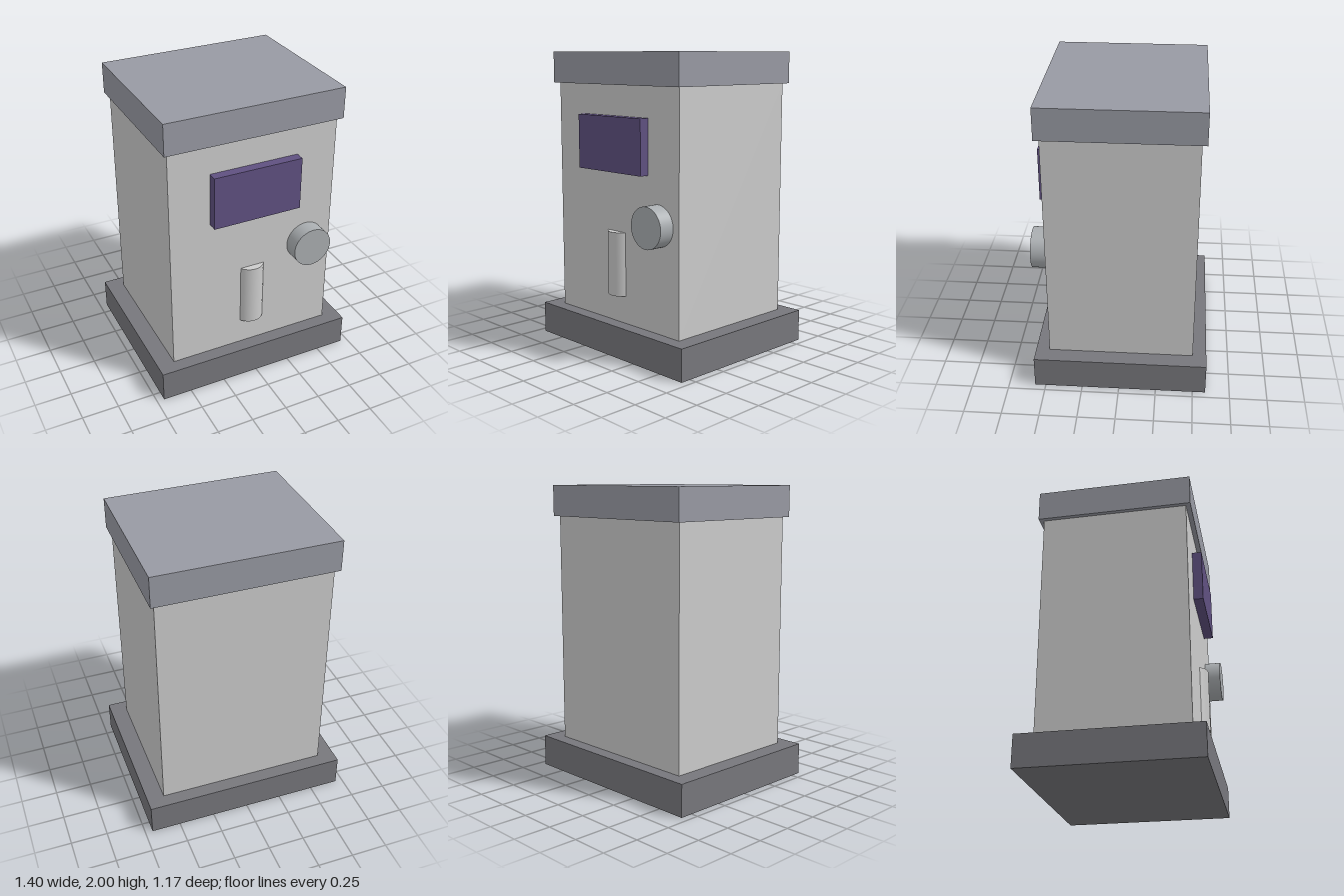
import * as THREE from 'three';

export function createModel() {
  const model = new THREE.Group();
  const zMid = -0.007; // cabinet sits slightly behind the origin
  const bodyFront = 0.481;

  function add(name, geometry, color, x, y, z) {
    const mesh = new THREE.Mesh(geometry, new THREE.MeshStandardMaterial({ color }));
    mesh.name = name;
    mesh.position.set(x, y, z);
    model.add(mesh);
    return mesh;
  }

  // Box given by its size and its bottom height
  function addBox(name, color, w, h, d, bottom, z) {
    return add(name, new THREE.BoxGeometry(w, h, d), color, 0, bottom + h / 2, z);
  }

  // Cabinet: plinth, body and overhanging cap
  addBox('base', 0x77777c, 1.4, 0.215, 1.16, 0, zMid);
  addBox('body', 0xcccccc, 1.166, 1.575, 0.976, 0.215, zMid);
  addBox('cap', 0x989aa3, 1.222, 0.21, 1.04, 1.79, zMid);

  // Display panel, set into the front
  addBox('displayPanel', 0x5f5080, 0.61, 0.36, 0.12, 1.23, 0.485);

  // Round dial facing forward
  const dial = new THREE.CylinderGeometry(0.136, 0.136, 0.14, 48);
  dial.rotateX(Math.PI / 2);
  add('dial', dial, 0xa9adb0, 0.395, 0.92, 0.517);

  // Upright spout, partly sunk into the body so only its front curve shows
  const spoutRadius = 0.098;
  const spoutDepth = 0.049;
  const spout = new THREE.CylinderGeometry(spoutRadius, spoutRadius, 0.43, 48);
  add('spout', spout, 0xbebec2, 0, 0.615, bodyFront + spoutDepth - spoutRadius);

  return model;
}
